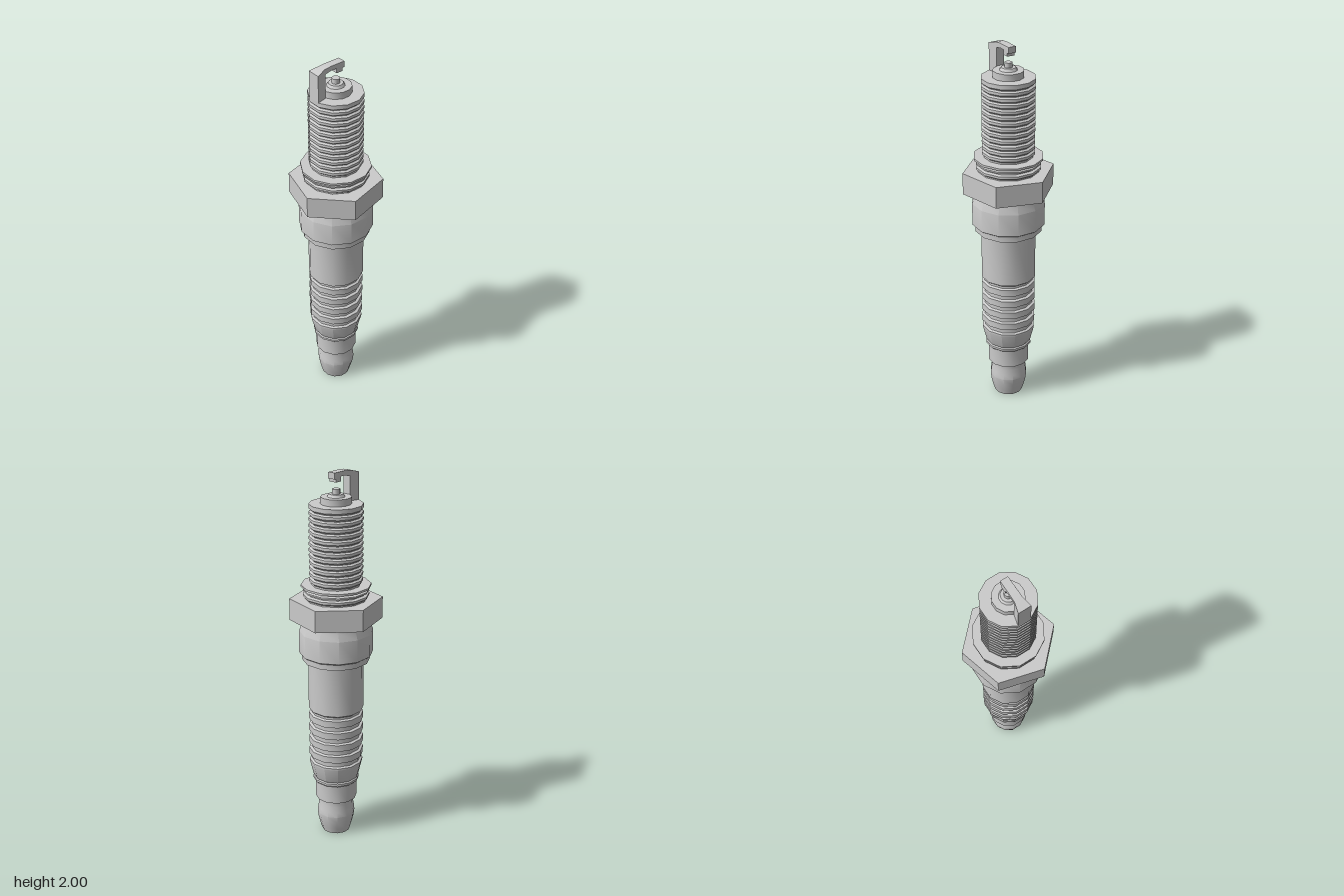
import * as THREE from 'three';
import { toCreasedNormals } from 'three/addons/utils/BufferGeometryUtils.js';

const material = new THREE.MeshStandardMaterial({ color: 0xcccccc });
const SIDES = 12;
const FLAT = Math.cos(Math.PI / SIDES);

export function createModel() {
  const group = new THREE.Group();
  group.name = 'sparkPlug';

  const add = (name, geometry) => {
    const mesh = new THREE.Mesh(toCreasedNormals(geometry, 0.56), material);
    mesh.name = name;
    group.add(mesh);
  };

  // Closed twelve-sided turning; points are [distance to flat, height], bottom to top
  const turned = (name, profile) => {
    const pts = profile.map(([r, y]) => new THREE.Vector2(r / FLAT, y));
    pts.unshift(new THREE.Vector2(0, profile[0][1]));
    pts.push(new THREE.Vector2(0, profile[profile.length - 1][1]));
    add(name, new THREE.LatheGeometry(pts, SIDES, Math.PI / SIDES));
  };

  // Terminal cap with its rounded end and waist
  turned('terminal', [
    [0.074, 0], [0.083, 0.03], [0.094, 0.075], [0.098, 0.11], [0.095, 0.14],
    [0.09, 0.17], [0.09, 0.195], [0.108, 0.205], [0.108, 0.312],
  ]);
  turned('terminalCollar', [[0.113, 0.308], [0.12, 0.315], [0.12, 0.327], [0.112, 0.335]]);

  // Ribbed insulator
  const insulator = [[0.112, 0.33], [0.119, 0.34], [0.138, 0.42], [0.138, 0.43]];
  for (let i = 0; i < 4; i++) {
    const y = 0.464 + i * 0.069;
    insulator.push([0.126, y - 0.028], [0.126, y - 0.006], [0.14, y], [0.14, y + 0.036]);
  }
  insulator.push([0.128, 0.713], [0.128, 0.725], [0.141, 0.735], [0.141, 1.03]);
  turned('insulator', insulator);

  // Metal shell below the nut
  turned('shell', [
    [0.172, 1.01], [0.172, 1.04], [0.187, 1.05], [0.187, 1.17], [0.172, 1.21], [0.172, 1.25],
  ]);

  // Hexagonal nut
  const nut = new THREE.CylinderGeometry(0.241, 0.241, 0.115, 6, 1, false, Math.PI / 4);
  nut.translate(0, 1.288, 0);
  add('hexNut', nut);

  // Folded gasket
  turned('gasket', [
    [0.155, 1.34], [0.155, 1.352], [0.165, 1.36], [0.165, 1.372], [0.148, 1.377],
    [0.148, 1.384], [0.165, 1.388], [0.165, 1.396], [0.15, 1.401], [0.15, 1.406],
    [0.175, 1.41], [0.175, 1.421],
  ]);

  // Threaded barrel
  const thread = [[0.123, 1.4]];
  const turns = 13, start = 1.43, pitch = 0.41 / turns;
  for (let i = 0; i < turns; i++) {
    const y = start + i * pitch;
    thread.push([0.123, y], [0.134, y + pitch * 0.3], [0.134, y + pitch * 0.75]);
    if (i < turns - 1) thread.push([0.123, y + pitch * 0.95]);
  }
  thread.push([0.134, 1.84]);
  turned('thread', thread);

  // Insulator nose and centre electrode
  turned('nose', [[0.077, 1.83], [0.077, 1.875], [0.044, 1.875], [0.036, 1.889]]);
  turned('centreElectrode', [[0.02, 1.88], [0.02, 1.914]]);

  // Ground electrode, a bent strap that widens towards its outer face
  const strap = new THREE.Shape();
  strap.moveTo(-0.134, 1.835);
  strap.lineTo(-0.08, 1.835);
  strap.lineTo(-0.08, 1.968);
  strap.lineTo(-0.045, 1.976);
  strap.lineTo(-0.012, 1.976);
  strap.lineTo(-0.012, 1.951);
  strap.lineTo(0.024, 1.951);
  strap.lineTo(0.024, 1.968);
  strap.lineTo(0.035, 1.968);
  strap.lineTo(0.035, 2);
  strap.lineTo(-0.045, 2);
  strap.lineTo(-0.085, 1.996);
  strap.lineTo(-0.134, 1.983);
  const bent = new THREE.ExtrudeGeometry(strap, { depth: 2, bevelEnabled: false });
  const pos = bent.attributes.position;
  for (let i = 0; i < pos.count; i++) {
    const taper = THREE.MathUtils.clamp((-0.08 - pos.getX(i)) / 0.054, 0, 1);
    pos.setZ(i, (pos.getZ(i) - 1) * (0.021 + 0.014 * taper));
  }
  add('groundElectrode', bent);

  return group;
}
